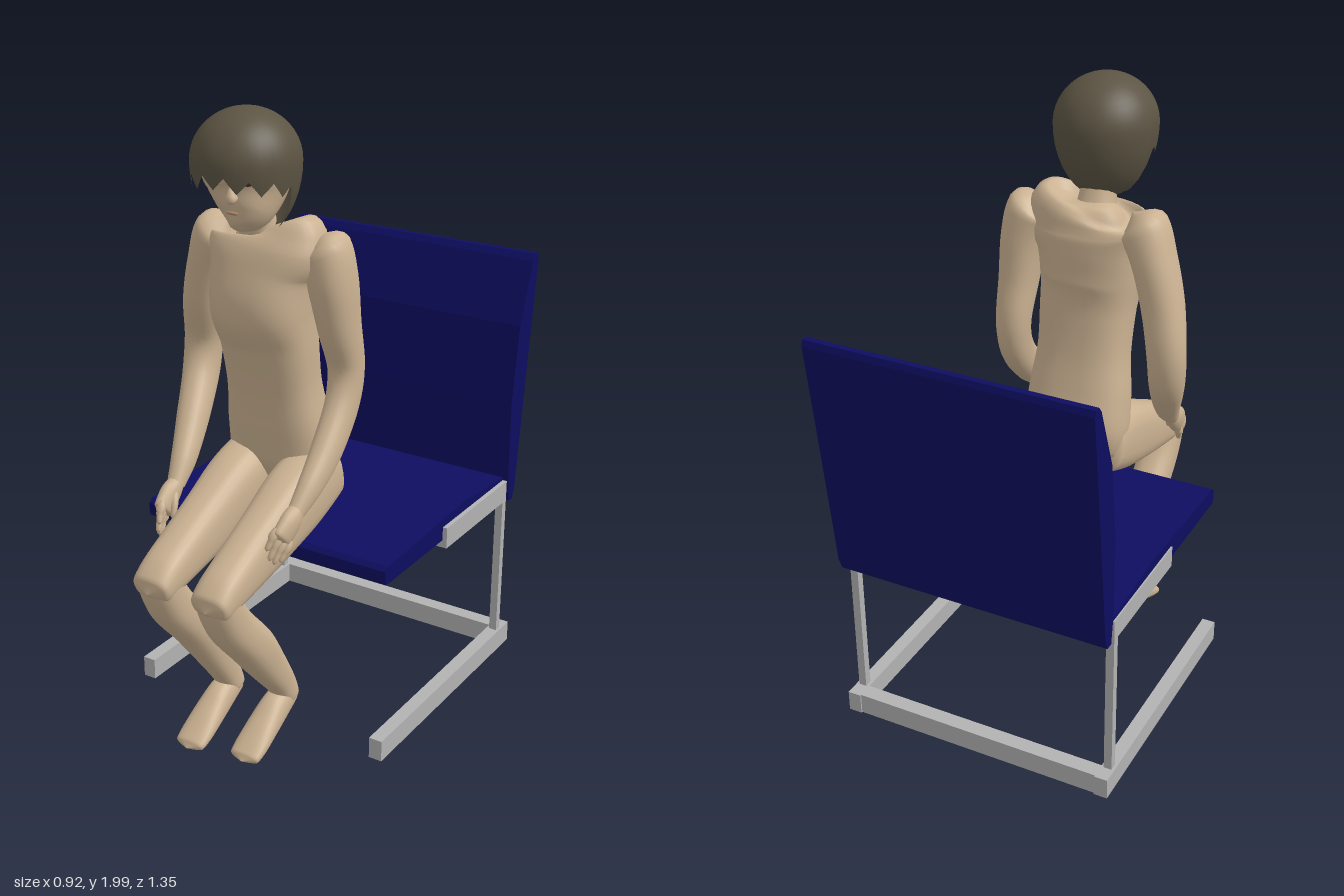
import * as THREE from 'three';

const mat = (name, color, side = THREE.FrontSide) => {
  const m = new THREE.MeshStandardMaterial({ color, side });
  m.name = name;
  return m;
};

// Closed smooth loft through [x, y, z, halfWidth, halfDepth] sections; power < 1 squares the section.
function loft(points, around = 24, perSpan = 5, power = 0.9) {
  const path = new THREE.CatmullRomCurve3(points.map(p => new THREE.Vector3(p[0], p[1], p[2])));
  const size = new THREE.CatmullRomCurve3(points.map(p => new THREE.Vector3(p[3], p[4], 0)));
  const rows = (points.length - 1) * perSpan;
  const pos = [], idx = [];
  const bend = v => Math.sign(v) * Math.pow(Math.abs(v), power);
  for (let i = 0; i <= rows; i++) {
    const t = i / rows, c = path.getPoint(t), r = size.getPoint(t), T = path.getTangent(t);
    const U = new THREE.Vector3(1, 0, 0).addScaledVector(T, -T.x).normalize();
    const V = T.clone().cross(U);
    for (let j = 0; j < around; j++) {
      const a = j / around * Math.PI * 2;
      const p = c.clone()
        .addScaledVector(U, bend(Math.cos(a)) * Math.max(r.x, 0.001))
        .addScaledVector(V, bend(Math.sin(a)) * Math.max(r.y, 0.001));
      pos.push(p.x, p.y, p.z);
      if (i < rows) {
        const k = (j + 1) % around, A = i * around, B = A + around;
        idx.push(A + j, A + k, B + j, A + k, B + k, B + j);
      }
    }
  }
  return surface(pos, idx);
}

function surface(pos, idx) {
  const g = new THREE.BufferGeometry();
  g.setAttribute('position', new THREE.Float32BufferAttribute(pos, 3));
  g.setIndex(idx);
  g.computeVertexNormals();
  return g;
}

// Side profile of [z, y] points extruded across x.
function slab(profile, x0, x1) {
  const shape = new THREE.Shape(profile.map(p => new THREE.Vector2(p[0], p[1])));
  const g = new THREE.ExtrudeGeometry(shape, { depth: x1 - x0, bevelEnabled: false });
  return g.rotateY(-Math.PI / 2).translate(x1, 0, 0);
}

// Cap of hair whose lower edge is a jagged fringe in front and hangs to the nape behind.
function hairShell() {
  const around = 84, rows = 18, pos = [], idx = [];
  for (let i = 0; i <= rows; i++) {
    for (let j = 0; j < around; j++) {
      const a = j / around * Math.PI * 2;
      const fromFront = Math.min(a, Math.PI * 2 - a);
      const drop = THREE.MathUtils.smoothstep(fromFront, 1.5, 1.85);
      const saw = Math.abs((j % 6) / 3 - 1);
      const edge = 1.835 - 0.02 * fromFront - 0.135 * drop - 0.04 * saw * (1 - 0.8 * drop);
      const top = 1.85;
      const low = (edge - top) / 0.235;
      const angle = Math.PI / 2 + (Math.asin(low) - Math.PI / 2) * i / rows;
      const y = top + Math.sin(angle) * (angle > 0 ? 0.15 : 0.235);
      const r = Math.max(Math.cos(angle), 0.002);
      pos.push(-0.037 + Math.sin(a) * 0.158 * r, y, 0.245 + Math.cos(a) * 0.165 * r);
      if (i < rows) {
        const k = (j + 1) % around, A = i * around, B = A + around;
        idx.push(A + j, B + j, A + k, A + k, B + j, B + k);
      }
    }
  }
  return surface(pos, idx);
}

export function createModel() {
  const skin = mat('skin', 0xcbb292);
  const hair = mat('hair', 0x5c5443, THREE.DoubleSide);
  const navy = mat('navy upholstery', 0x0d0d60);
  const metal = mat('grey metal', 0xb2b2b2);
  const eyeColor = mat('eye brown', 0x4a2c1e);
  const lipColor = mat('lip', 0xb08a70);

  const model = new THREE.Group();
  const chair = new THREE.Group();
  const figure = new THREE.Group();
  chair.name = 'chair';
  figure.name = 'figure';
  model.add(chair, figure);
  const add = (parent, name, geometry, material) => {
    const m = new THREE.Mesh(geometry, material);
    m.name = name;
    parent.add(m);
    return m;
  };
  const box = (name, x0, x1, y0, y1, z0, z1) => add(chair, name,
    new THREE.BoxGeometry(x1 - x0, y1 - y0, z1 - z0)
      .translate((x0 + x1) / 2, (y0 + y1) / 2, (z0 + z1) / 2), metal);

  // Chair upholstery
  add(chair, 'backrest', slab([[-0.55, 0.6], [-0.575, 0.6], [-0.59, 0.64], [-0.645, 1.12], [-0.68, 1.41],
    [-0.675, 1.43], [-0.655, 1.43], [-0.64, 1.41], [-0.567, 1.21], [-0.534, 0.95], [-0.538, 0.7]].reverse(), -0.445, 0.455), navy);
  add(chair, 'seat', slab([[-0.54, 0.63], [0.23, 0.63], [0.235, 0.645], [0.235, 0.675], [0.22, 0.688],
    [0, 0.697], [-0.27, 0.71], [-0.54, 0.685]], -0.445, 0.435), navy);

  // Chair frame
  box('seatSupport', -0.45, 0.45, 0.605, 0.675, -0.54, -0.12);
  for (const s of [-1, 1]) {
    const x = s * 0.437;
    box('post', x - 0.013, x + 0.013, 0.1, 0.62, -0.54, -0.515);
    box('baseRail', x - 0.022, x + 0.022, 0.05, 0.12, -0.59, 0.28);
  }
  box('rearCrossbar', -0.44, 0.44, 0.05, 0.12, -0.585, -0.535);

  // Torso and neck
  add(figure, 'torso', loft([
    [-0.03, 0.8, 0.08, 0, 0], [-0.03, 0.835, 0.075, 0.15, 0.085], [-0.03, 0.93, 0.08, 0.168, 0.115],
    [-0.03, 1.03, 0.1, 0.162, 0.11], [-0.03, 1.16, 0.125, 0.147, 0.105], [-0.03, 1.3, 0.15, 0.15, 0.114],
    [-0.035, 1.4, 0.167, 0.157, 0.137], [-0.035, 1.5, 0.157, 0.165, 0.126], [-0.028, 1.57, 0.147, 0.19, 0.112],
    [-0.028, 1.615, 0.137, 0.175, 0.09], [-0.035, 1.635, 0.135, 0.1, 0.055], [-0.035, 1.64, 0.135, 0, 0],
  ], 36, 5, 0.78), skin);
  add(figure, 'neck', loft([[-0.045, 1.57, 0.15, 0.08, 0.06], [-0.045, 1.62, 0.17, 0.06, 0.056],
    [-0.045, 1.68, 0.19, 0.054, 0.052], [-0.04, 1.76, 0.22, 0.058, 0.06]]), skin);

  // Head, face and hair
  add(figure, 'head', loft([
    [-0.005, 1.664, 0.315, 0, 0], [-0.008, 1.672, 0.31, 0.035, 0.035], [-0.012, 1.71, 0.285, 0.077, 0.075],
    [-0.025, 1.77, 0.255, 0.112, 0.112], [-0.035, 1.84, 0.245, 0.128, 0.13], [-0.035, 1.92, 0.24, 0.115, 0.12],
    [-0.035, 1.965, 0.24, 0.06, 0.06], [-0.035, 1.975, 0.24, 0, 0]], 28), skin);
  add(figure, 'nose', loft([[-0.004, 1.815, 0.365, 0, 0], [-0.003, 1.785, 0.367, 0.011, 0.014],
    [-0.002, 1.765, 0.367, 0.017, 0.019], [-0.002, 1.754, 0.36, 0, 0]], 12), skin);
  for (const [x, z, turn] of [[-0.055, 0.37, -0.1], [0.04, 0.35, 0.55]]) {
    const eye = add(figure, 'eye', new THREE.SphereGeometry(1, 14, 8).scale(0.017, 0.012, 0.0045), eyeColor);
    eye.position.set(x, 1.815, z);
    eye.rotation.y = turn;
  }
  add(figure, 'mouth', new THREE.SphereGeometry(1, 12, 8).scale(0.022, 0.005, 0.0045), lipColor)
    .position.set(-0.005, 1.725, 0.363);
  add(figure, 'hair', hairShell(), hair);

  // Legs and feet
  for (const [name, x, dy] of [['rightLeg', -0.115, -0.03], ['leftLeg', 0.095, 0]]) {
    const leg = new THREE.Group();
    leg.name = name;
    figure.add(leg);
    const part = (partName, rows, power) => add(leg, partName, loft(rows.map(r => [x, ...r]), 24, 5, power), skin);
    part('thigh', [[0.87, 0.02, 0, 0], [0.865, 0.06, 0.085, 0.1], [0.82, 0.2, 0.086, 0.113], [0.76, 0.35, 0.077, 0.1],
      [0.705, 0.5, 0.07, 0.08], [0.672, 0.59, 0.068, 0.064], [0.645, 0.65, 0.062, 0.042], [0.638, 0.672, 0, 0]], 0.75);
    part('shin', [[0.7, 0.61, 0, 0], [0.665, 0.61, 0.064, 0.058], [0.56, 0.56, 0.066, 0.067],
      [0.425, 0.443, 0.064, 0.069], [0.31 + dy / 2, 0.355, 0.052, 0.059], [0.22 + dy, 0.29, 0.044, 0.047],
      [0.16 + dy, 0.26, 0.042, 0.04], [0.13 + dy, 0.25, 0, 0]], 0.85);
    part('foot', [[0.167, 0.222, 0, 0], [0.163, 0.245, 0.035, 0.038], [0.145, 0.31, 0.043, 0.05],
      [0.11, 0.38, 0.05, 0.04], [0.072, 0.45, 0.054, 0.027], [0.052, 0.49, 0.05, 0.018],
      [0.046, 0.508, 0, 0]].map(([y, ...r]) => [y + dy, ...r]), 0.85);
  }

  // Arms, each ending at the wrist
  const arms = {
    leftArm: [[0.12, 1.625, 0.13, 0, 0], [0.15, 1.59, 0.125, 0.075, 0.078], [0.173, 1.5, 0.12, 0.07, 0.082],
      [0.185, 1.36, 0.1, 0.06, 0.072], [0.19, 1.22, 0.068, 0.053, 0.058], [0.195, 1.12, 0.095, 0.048, 0.06],
      [0.205, 1.0, 0.2, 0.044, 0.055], [0.21, 0.92, 0.3, 0.034, 0.043], [0.207, 0.865, 0.37, 0.024, 0.028]],
    rightArm: [[-0.18, 1.63, 0.13, 0, 0], [-0.22, 1.59, 0.125, 0.075, 0.078], [-0.26, 1.5, 0.115, 0.066, 0.08],
      [-0.3, 1.36, 0.1, 0.064, 0.072], [-0.327, 1.22, 0.075, 0.06, 0.058], [-0.322, 1.12, 0.1, 0.055, 0.062],
      [-0.285, 1.0, 0.2, 0.048, 0.055], [-0.25, 0.9, 0.3, 0.037, 0.043], [-0.237, 0.84, 0.36, 0.026, 0.028]],
  };
  for (const [name, rows] of Object.entries(arms)) {
    const arm = new THREE.Group();
    arm.name = name;
    figure.add(arm);
    add(arm, 'armAndForearm', loft(rows), skin);
    // Hand: palm, four fingers and a thumb placed from the wrist
    const [wx, wy, wz] = rows.at(-1);
    const s = Math.sign(wx);
    const at = (x, y, z, ...r) => [wx - s * x, wy + y, wz + z, ...r];
    add(arm, 'palm', loft([at(0, 0.012, -0.015, 0.022, 0.024), at(0, -0.02, 0.03, 0.026, 0.04),
      at(0.004, -0.055, 0.07, 0.022, 0.042), at(0.006, -0.067, 0.083, 0, 0)], 16), skin);
    for (let i = 0; i < 4; i++) {
      const k = i - 1.5, reach = i === 0 || i === 3 ? 0.8 : 1;
      const px = k * 0.007, py = k * 0.016, pz = k * 0.013;
      add(arm, 'finger', loft([at(px, py - 0.045, pz + 0.06, 0.01, 0.01),
        at(px + 0.006, py - 0.045 - 0.038 * reach, pz + 0.06 + 0.028 * reach, 0.01, 0.01),
        at(px + 0.012, py - 0.045 - 0.068 * reach, pz + 0.06 + 0.044 * reach, 0.008, 0.008),
        at(px + 0.013, py - 0.045 - 0.075 * reach, pz + 0.06 + 0.047 * reach, 0, 0)], 10, 3), skin);
    }
    add(arm, 'thumb', loft([at(0.01, -0.005, 0.02, 0.012, 0.014), at(0.028, -0.04, 0.045, 0.011, 0.012),
      at(0.032, -0.075, 0.06, 0.008, 0.008), at(0.032, -0.082, 0.063, 0, 0)], 10, 3), skin);
  }
  return model;
}
